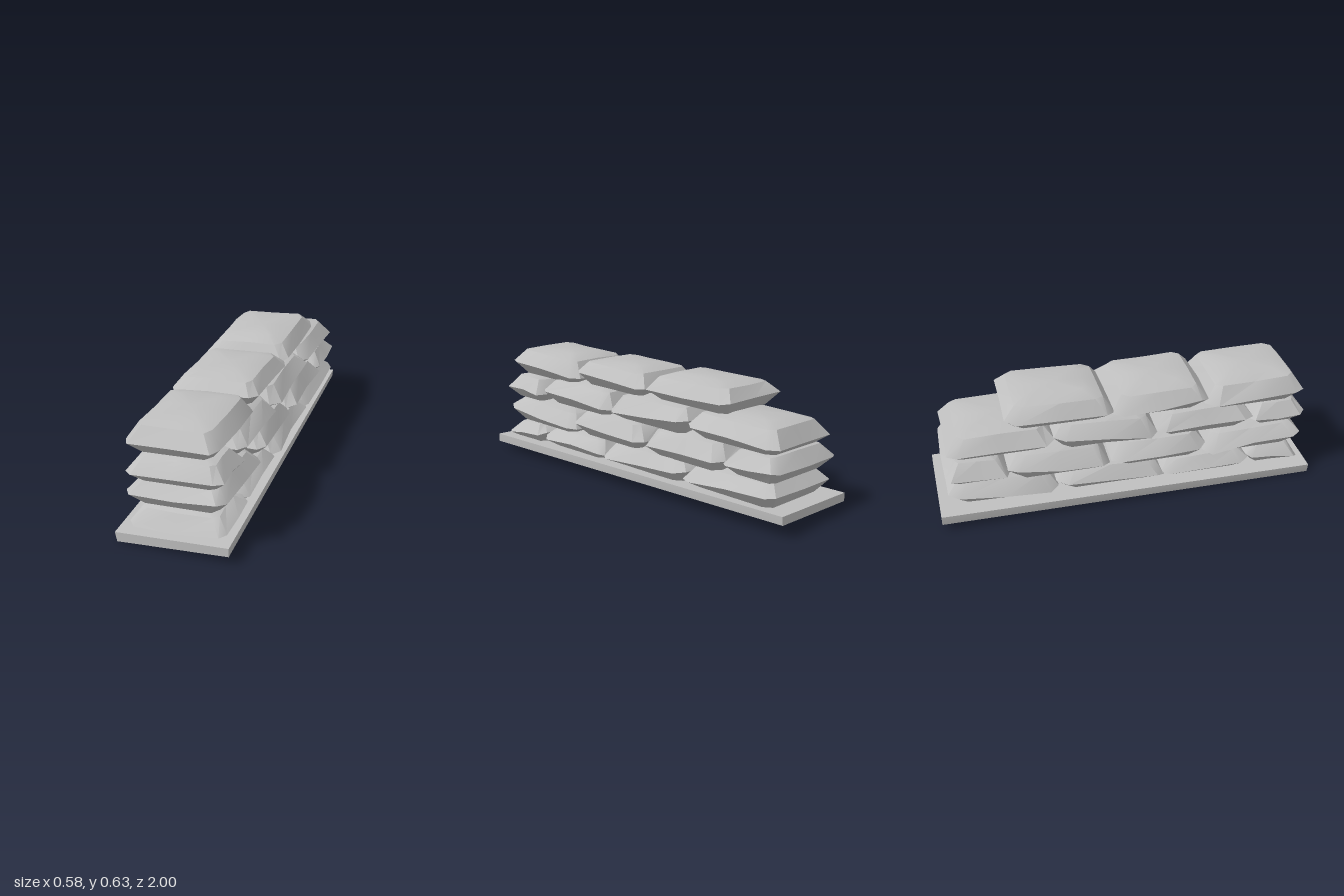
import * as THREE from 'three';
import { toCreasedNormals } from 'three/addons/utils/BufferGeometryUtils.js';

// seeded jitter in -1..1
let seed = 11;
const jitter = () => {
  seed = (seed * 16807) % 2147483647;
  return (seed / 2147483647) * 2 - 1;
};

// closed solid lofted upwards through rings of equal point count
function loft(rings, crease) {
  const n = rings[0].length, pos = [];
  const tri = (...pts) => pts.forEach((p) => pos.push(...p));
  const centre = (ring) => [0, 1, 2].map((k) => ring.reduce((s, p) => s + p[k], 0) / n);
  const bottom = centre(rings[0]), top = centre(rings[rings.length - 1]);
  for (let i = 0; i < n; i++) {
    const j = (i + 1) % n, last = rings[rings.length - 1];
    tri(rings[0][j], rings[0][i], bottom);
    tri(last[i], last[j], top);
    for (let r = 0; r + 1 < rings.length; r++) {
      const a = rings[r], b = rings[r + 1];
      tri(a[i], a[j], b[j]);
      tri(a[i], b[j], b[i]);
    }
  }
  const geo = new THREE.BufferGeometry();
  geo.setAttribute('position', new THREE.Float32BufferAttribute(pos, 3));
  return toCreasedNormals(geo, crease);
}

// square outline with clipped corners, counter-clockwise from above
const OUTLINE = [
  [0, 1], [0.85, 1], [1, 0.82], [1, 0], [1, -0.82], [0.85, -1],
  [0, -1], [-0.85, -1], [-1, -0.82], [-1, 0], [-1, 0.82], [-0.85, 1],
];
const TILT = 0.05; // the whole stack leans a little to one side

// filled sack: pinched seam low on the sides, broad domed top
function sackGeometry([z0, z1, y0, y1, x0, x1]) {
  const cx = (x0 + x1) / 2, cz = (z0 + z1) / 2;
  const hx = (x1 - x0) / 2, hz = Math.abs(z0 - z1) / 2, h = y1 - y0;
  const slant = jitter() * 0.025;
  // inset from the seam, height fraction, seam weight
  const levels = [[0.055, 0, 0], [0, 0.36, 1], [0.055, 0.84, 0.4], [0.13, 0.98, 0]];
  const rings = levels.map(([inset, f, w]) => OUTLINE.map(([u, v]) => {
    const x = cx + u * (hx - inset) + w * jitter() * 0.01;
    const z = cz + v * (hz - inset) + w * jitter() * 0.006;
    const y = y0 + f * h + w * (slant * v + jitter() * 0.008) + TILT * x;
    return [x, y, z];
  }));
  return loft(rings, 0.55);
}

// each sack: z front, z back, y bottom, y top, x right, x left
const ROWS = [
  [
    [0.96, 0.65, 0.07, 0.19, -0.24, 0.26],
    [0.66, 0.17, 0.08, 0.20, -0.26, 0.25],
    [0.19, -0.39, 0.09, 0.22, -0.26, 0.25],
    [-0.38, -0.95, 0.10, 0.235, -0.26, 0.25],
  ],
  [
    [0.95, 0.40, 0.18, 0.32, -0.25, 0.25],
    [0.41, -0.10, 0.20, 0.355, -0.27, 0.25],
    [-0.11, -0.64, 0.205, 0.365, -0.27, 0.25],
    [-0.63, -0.96, 0.225, 0.37, -0.27, 0.25],
  ],
  [
    [0.97, 0.66, 0.315, 0.46, -0.24, 0.25],
    [0.67, 0.14, 0.33, 0.485, -0.25, 0.24],
    [0.15, -0.40, 0.345, 0.495, -0.26, 0.24],
    [-0.39, -0.94, 0.355, 0.50, -0.25, 0.23],
  ],
  [
    [0.95, 0.41, 0.455, 0.61, -0.25, 0.22],
    [0.42, -0.09, 0.48, 0.62, -0.25, 0.22],
    [-0.08, -0.64, 0.49, 0.632, -0.25, 0.21],
  ],
];

export function createModel() {
  const model = new THREE.Group();
  model.name = 'sandbagWall';
  const gray = new THREE.MeshStandardMaterial({ color: 0xbfbfbf });
  gray.name = 'plain gray';

  // slightly skewed ground slab
  const slab = new THREE.Mesh(loft([
    [[-0.27, 0, 1], [0.29, 0.045, 1], [0.235, 0.07, -1], [-0.293, 0.035, -1]],
    [[-0.28, 0.05, 1], [0.29, 0.09, 1], [0.24, 0.115, -1], [-0.293, 0.08, -1]],
  ], 0.5), gray);
  slab.name = 'baseSlab';
  model.add(slab);

  // stacked courses of sacks
  ROWS.forEach((row, r) => {
    const course = new THREE.Group();
    course.name = `course${r + 1}`;
    row.forEach((dims, i) => {
      const sack = new THREE.Mesh(sackGeometry(dims), gray);
      sack.name = `sandbag${r + 1}_${i + 1}`;
      course.add(sack);
    });
    model.add(course);
  });
  return model;
}
